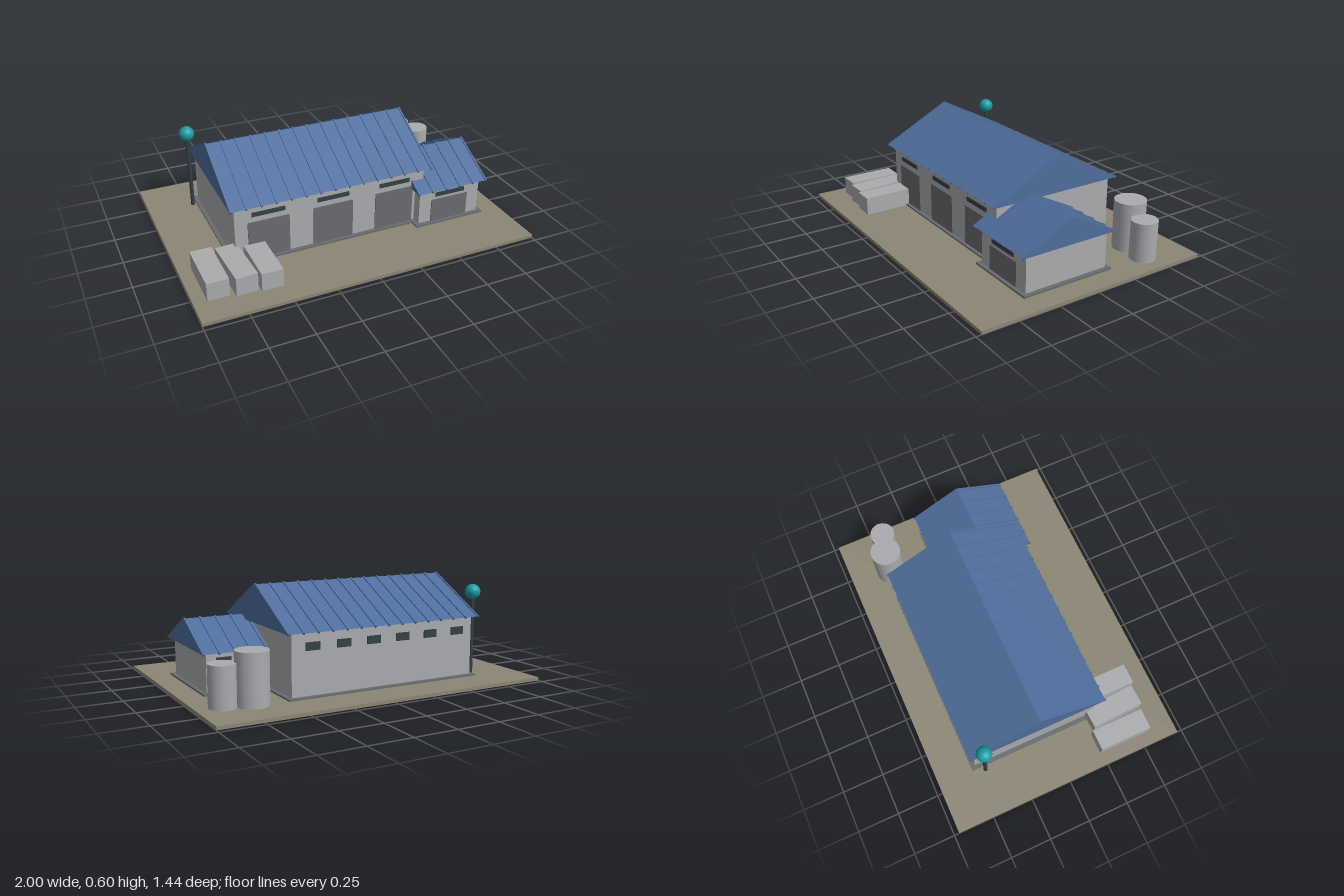
import * as THREE from 'three';

const mat = (name, color) => {
  const m = new THREE.MeshStandardMaterial({ color });
  m.name = name;
  return m;
};

export function createModel() {
  const model = new THREE.Group();
  model.name = 'warehouseYard';
  const earth = mat('earth', 0x8c8674);
  const wallGrey = mat('wallGrey', 0xa9abae);
  const roofBlue = mat('roofBlue', 0x4f6d9c);
  const doorGrey = mat('doorGrey', 0x696c6f);
  const darkSteel = mat('darkSteel', 0x344048);
  const teal = mat('teal', 0x1a9da4);

  const add = (parent, name, geometry, material, x = 0, y = 0, z = 0) => {
    const mesh = new THREE.Mesh(geometry, material);
    mesh.name = name;
    mesh.position.set(x, y, z);
    parent.add(mesh);
    return mesh;
  };
  // Box given by its lower and upper bounds
  const block = (parent, name, material, [x0, x1], [y0, y1], [z0, z1]) =>
    add(parent, name, new THREE.BoxGeometry(x1 - x0, y1 - y0, z1 - z0), material,
      (x0 + x1) / 2, (y0 + y1) / 2, (z0 + z1) / 2);

  // Solid gable roof with raised seams down both slopes
  const gableRoof = (parent, [x0, x1], [z0, z1], eave, ridge, seams) => {
    const half = (z1 - z0) / 2, rise = ridge - eave, mid = (z0 + z1) / 2;
    const shape = new THREE.Shape([
      new THREE.Vector2(-half, 0), new THREE.Vector2(half, 0), new THREE.Vector2(0, rise),
    ]);
    const geo = new THREE.ExtrudeGeometry(shape, { depth: x1 - x0, bevelEnabled: false });
    geo.rotateY(Math.PI / 2);
    add(parent, 'roof', geo, roofBlue, x0, eave, mid);
    const slope = Math.hypot(half, rise), angle = Math.atan2(rise, half);
    const seamGeo = new THREE.BoxGeometry(0.01, 0.012, slope + 0.006);
    for (let i = 0; i < seams; i++) {
      const x = x0 + 0.005 + (i * (x1 - x0 - 0.01)) / (seams - 1);
      for (const s of [-1, 1]) {
        const seam = add(parent, 'roofSeam', seamGeo, roofBlue, x, eave + rise / 2, mid + (s * half) / 2);
        seam.rotation.x = s * angle;
      }
    }
  };

  // Roller door with a dark light strip above it
  const door = (parent, x, z, top, stripY) => {
    block(parent, 'rollerDoor', doorGrey, [x - 0.1225, x + 0.1225], [0.03, top], [z - 0.002, z + 0.005]);
    block(parent, 'doorStrip', darkSteel, [x - 0.0975, x + 0.0975], [stripY, stripY + 0.025], [z - 0.002, z + 0.007]);
  };
  const backWindow = (parent, x, y, z) =>
    block(parent, 'backWindow', darkSteel, [x - 0.043, x + 0.043], [y, y + 0.045], [z - 0.006, z + 0.002]);

  block(model, 'ground', earth, [-1, 1], [0, 0.02], [-0.72, 0.72]);

  // Main hall
  const hall = new THREE.Group();
  hall.name = 'mainHall';
  model.add(hall);
  block(hall, 'hallPlinth', doorGrey, [-0.705, 0.515], [0.01, 0.03], [-0.505, 0.32]);
  block(hall, 'hallWalls', wallGrey, [-0.68, 0.49], [0.02, 0.376], [-0.48, 0.295]);
  gableRoof(hall, [-0.71, 0.525], [-0.51, 0.33], 0.374, 0.591, 15);
  for (let i = -1; i <= 1; i++) door(hall, -0.0925 + i * 0.39, 0.295, 0.265, 0.3);
  for (let i = 0; i < 6; i++) backWindow(hall, -0.105 + (i - 2.5) * 0.188, 0.275, -0.48);

  // Side annex
  const annex = new THREE.Group();
  annex.name = 'annex';
  model.add(annex);
  block(annex, 'annexPlinth', doorGrey, [0.415, 0.87], [0.01, 0.031], [-0.195, 0.38]);
  block(annex, 'annexWalls', wallGrey, [0.44, 0.845], [0.02, 0.25], [-0.17, 0.355]);
  gableRoof(annex, [0.412, 0.876], [-0.205, 0.39], 0.248, 0.4, 6);
  door(annex, 0.6425, 0.355, 0.175, 0.195);
  for (const x of [0.54, 0.745]) backWindow(annex, x, 0.175, -0.17);

  // Storage tanks
  for (const [x, z, r, top] of [[0.705, -0.463, 0.091, 0.31], [0.856, -0.433, 0.075, 0.25]])
    add(model, 'storageTank', new THREE.CylinderGeometry(r, r, top - 0.02, 32), wallGrey, x, (top + 0.02) / 2, z);

  // Crates in the yard
  for (const [x, z, turn] of [[-0.862, 0.395, 0], [-0.717, 0.413, 0.05], [-0.573, 0.43, 0]])
    add(model, 'crate', new THREE.BoxGeometry(0.124, 0.108, 0.32), wallGrey, x, 0.074, z).rotation.y = turn;

  // Beacon on a pole
  add(model, 'beaconPole', new THREE.CylinderGeometry(0.012, 0.012, 0.47, 16), darkSteel, -0.727, 0.255, -0.43);
  add(model, 'beaconBall', new THREE.SphereGeometry(0.045, 24, 16), teal, -0.727, 0.51, -0.43);

  return model;
}
